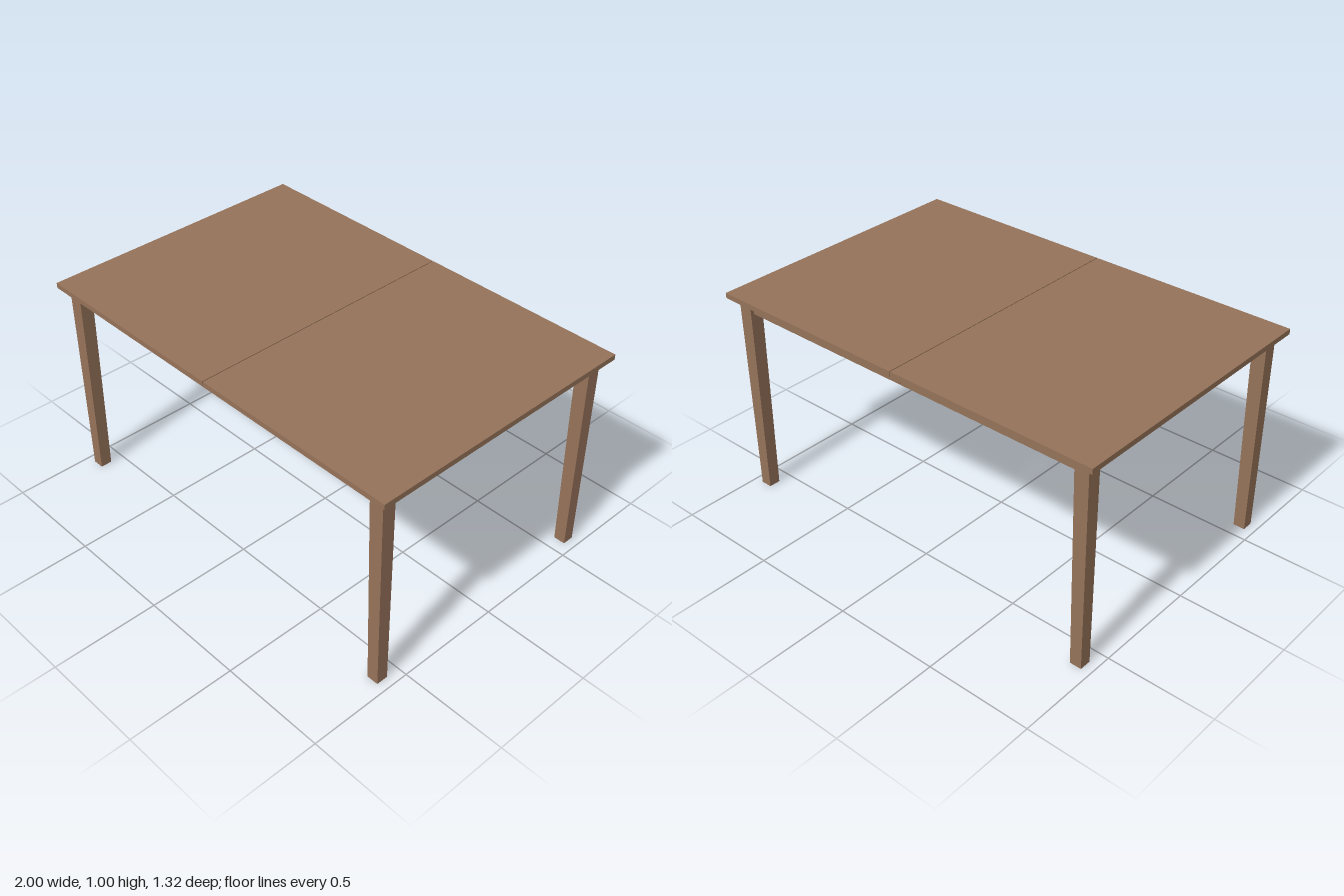
import * as THREE from 'three';

export function createModel() {
  const group = new THREE.Group();
  const wood = new THREE.MeshStandardMaterial({ color: 0x96735a });
  wood.name = 'brown wood';

  function box(name, w, h, d, x, y, z) {
    const mesh = new THREE.Mesh(new THREE.BoxGeometry(w, h, d), wood);
    mesh.name = name;
    mesh.position.set(x, y, z);
    group.add(mesh);
    return mesh;
  }

  const legHeight = 0.98, gap = 0.002;
  const apronHeight = 0.058, apronY = 0.948, apronThick = 0.03;

  for (const sx of [-1, 1]) {
    const side = sx > 0 ? 'left' : 'right';

    // Two table top halves with a narrow seam between them
    box(side + 'TopHalf', 1 - gap, 0.025, 1.324, sx * (1 + gap) / 2, 0.9925, 0);

    // End apron between the legs
    box(side + 'EndApron', apronThick, apronHeight, 1.13, sx * 0.925, apronY, 0);

    for (const sz of [-1, 1]) {
      const end = sz > 0 ? 'Front' : 'Back';

      // Long apron, split at the seam
      box(side + end + 'Apron', 0.895 - gap, apronHeight, apronThick,
        sx * (0.895 + gap) / 2, apronY, sz * 0.593);

      // Square leg, tapering slightly towards the floor
      const leg = box(side + end + 'Leg', 0.068, legHeight, 0.064,
        sx * 0.924, legHeight / 2, sz * 0.592);
      const p = leg.geometry.attributes.position;
      for (let i = 0; i < p.count; i++) {
        if (p.getY(i) < 0) {
          p.setX(i, p.getX(i) * 0.81 + sx * 0.004);
          p.setZ(i, p.getZ(i) * 0.86);
        }
      }
      leg.geometry.computeVertexNormals();
    }
  }
  return group;
}
